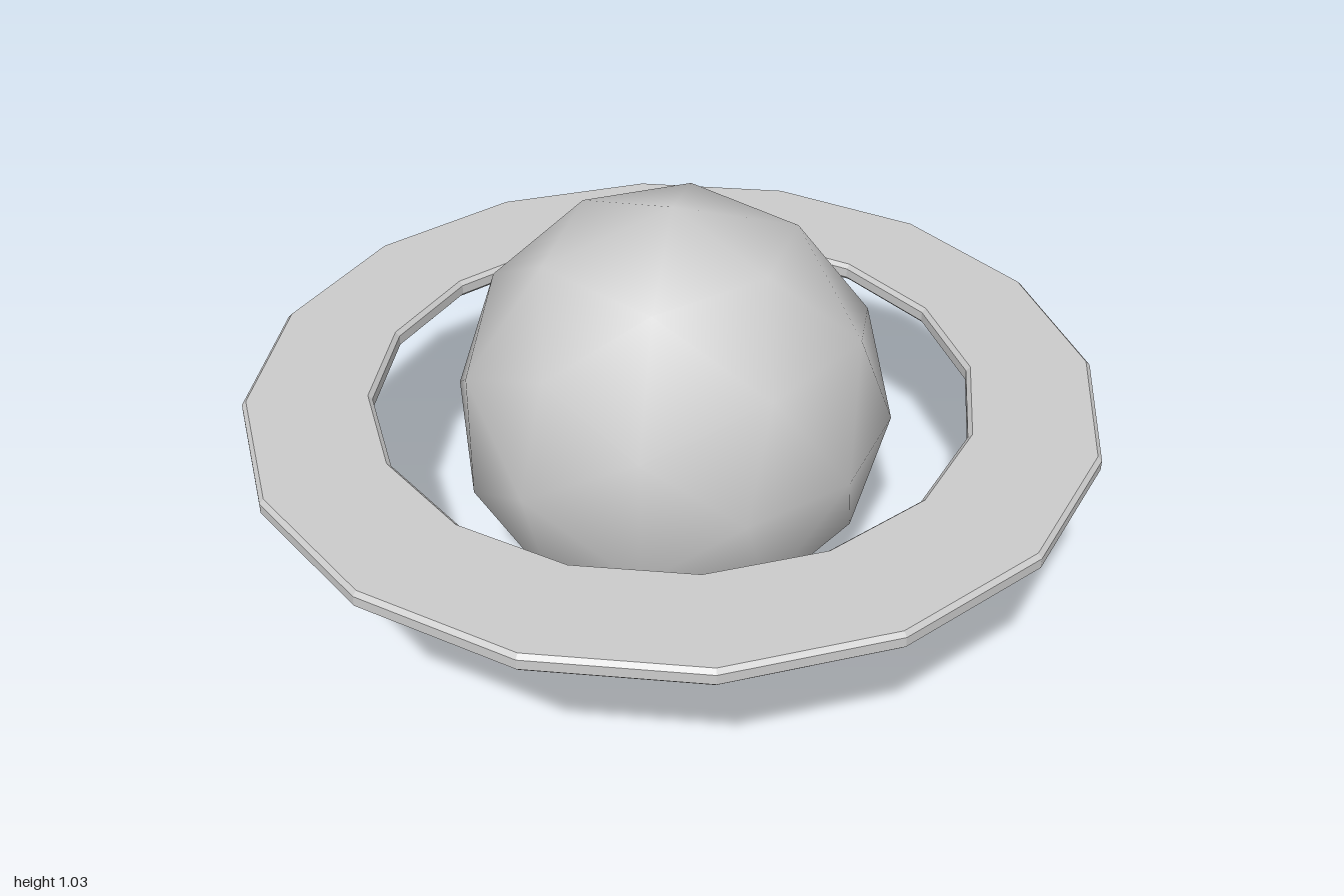
import * as THREE from 'three';

const RADIUS = 0.515;

export function createModel() {
  const group = new THREE.Group();

  // Smooth globe: once-subdivided icosahedron
  const globe = new THREE.Mesh(
    new THREE.IcosahedronGeometry(RADIUS, 1),
    new THREE.MeshStandardMaterial({ color: 0xcccccc })
  );
  globe.name = 'planet';
  globe.position.y = RADIUS;
  group.add(globe);

  // Flat 16-sided ring with chamfered edges
  const inner = 0.7, outer = 1, half = 0.022, bevel = 0.01;
  const profile = [
    [inner + bevel, -half],
    [outer - bevel, -half],
    [outer, -half + bevel],
    [outer, half - bevel],
    [outer - bevel, half],
    [inner + bevel, half],
    [inner, half - bevel],
    [inner, -half + bevel],
    [inner + bevel, -half],
  ].map(([r, y]) => new THREE.Vector2(r, y));
  const ring = new THREE.Mesh(
    new THREE.LatheGeometry(profile, 16),
    new THREE.MeshStandardMaterial({ color: 0xcccccc, flatShading: true })
  );
  ring.name = 'ring';
  ring.position.y = 0.545;
  group.add(ring);

  return group;
}
